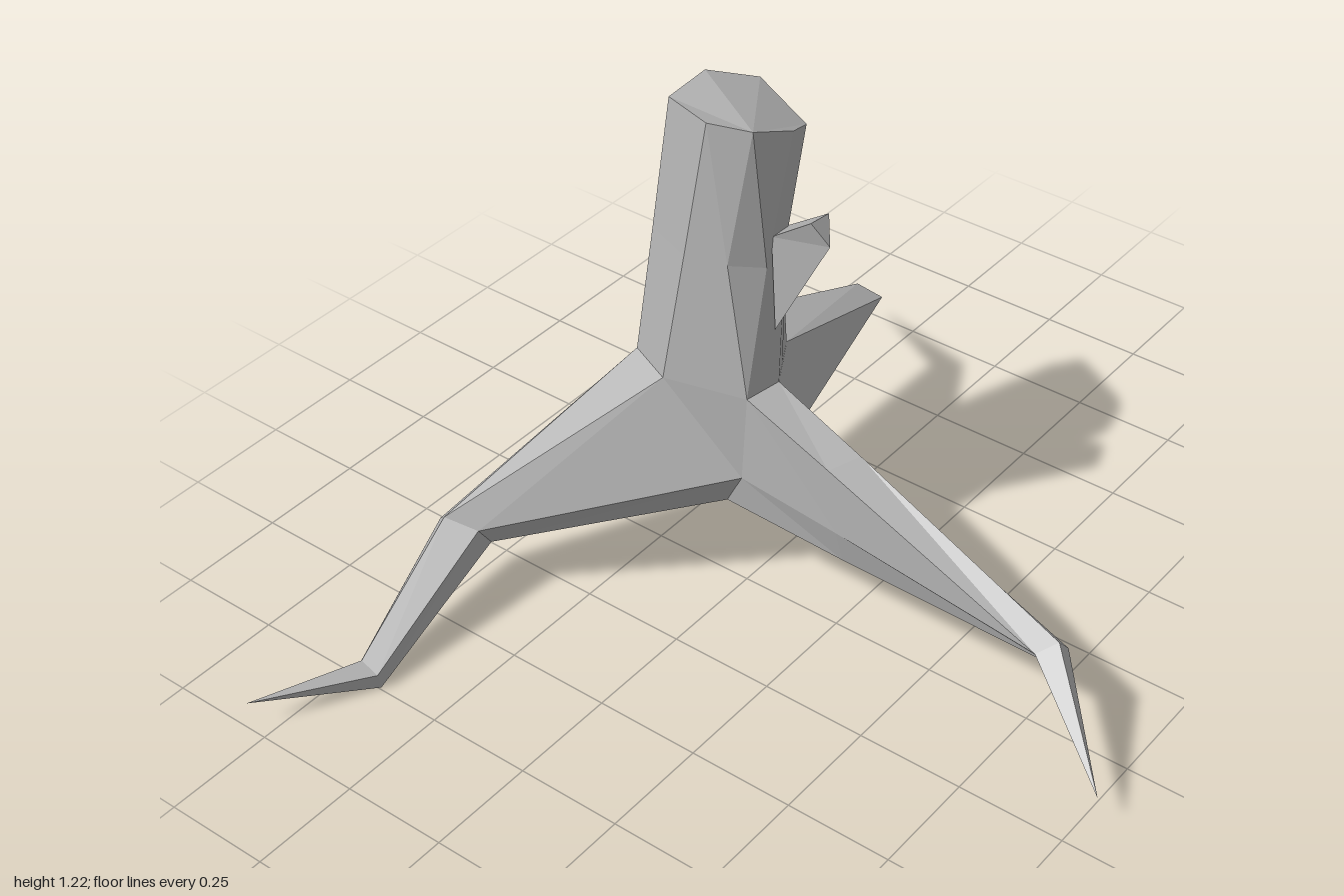
import * as THREE from 'three';

const bark = new THREE.MeshStandardMaterial({ color: 0xb4b4b4, flatShading: true, side: THREE.DoubleSide });
bark.name = 'bark';

// Joins rings of equal point count into a faceted skin; rings run clockwise seen from the first ring's outside.
function loft(name, rings, capFirst = false, capLast = false) {
  const tris = [];
  const add = (a, b, c) => {
    if (a !== b && b !== c && a !== c) tris.push(...a, ...b, ...c);
  };
  const cap = (ring, flip) => {
    for (let i = 1; i < ring.length - 1; i++) {
      if (flip) add(ring[0], ring[i + 1], ring[i]);
      else add(ring[0], ring[i], ring[i + 1]);
    }
  };
  for (let r = 0; r < rings.length - 1; r++) {
    const p = rings[r], q = rings[r + 1];
    for (let i = 0; i < p.length; i++) {
      const j = (i + 1) % p.length;
      add(p[i], q[i], p[j]);
      add(p[j], q[i], q[j]);
    }
  }
  if (capFirst) cap(rings[0], false);
  if (capLast) cap(rings[rings.length - 1], true);
  const geo = new THREE.BufferGeometry();
  geo.setAttribute('position', new THREE.Float32BufferAttribute(tris, 3));
  geo.computeVertexNormals();
  const mesh = new THREE.Mesh(geo, bark);
  mesh.name = name;
  return mesh;
}

export function createModel() {
  const group = new THREE.Group();
  group.name = 'treeStump';

  // Shared corners where the trunk meets the roots
  const A = [-0.07, 0.58, -0.18], B = [0.02, 0.58, -0.165], C = [0.17, 0.555, -0.26];
  const D = [0.11, 0.56, -0.467], E = [-0.065, 0.58, -0.483], F = [-0.115, 0.58, -0.37];
  const rightCrotch = [0.16, 0.39, -0.2], rightUnder = [0.14, 0.325, -0.3];
  const leftCrotch = [-0.07, 0.36, -0.2], leftUnder = [-0.06, 0.27, -0.25];
  const backUnder = [0.1, 0.33, -0.47];

  // Trunk: slanted cut top, pinched on the left side, flared foot
  const pinch = [0.193, 0.88, -0.29], corner = [-0.07, 1.22, -0.265];
  group.add(loft('trunk', [
    [[-0.03, 1.21, -0.18], [0.1, 1.15, -0.18], [0.175, 1.12, -0.205], [0.235, 1.145, -0.37],
      [0.13, 1.19, -0.43], [-0.01, 1.2, -0.41], corner, corner],
    [[-0.005, 0.88, -0.172], [0.095, 0.88, -0.2], pinch, pinch,
      [0.12, 0.88, -0.448], [-0.037, 0.89, -0.446], [-0.092, 0.9, -0.317], [-0.07, 0.9, -0.222]],
    [B, [0.095, 0.567, -0.213], C, C, D, E, F, A],
  ], true));

  // Broken branch on the front
  const stubTip = [0.11, 0.98, -0.1];
  group.add(loft('branchStub', [
    [[0.06, 0.94, -0.06], stubTip, stubTip, [0.04, 0.995, -0.093]],
    [[0.01, 0.72, -0.165], [0.13, 0.74, -0.22], [0.12, 0.9, -0.215], [0.02, 0.94, -0.178]],
  ], true));

  // Root to the front, with a sagging belly and a sharp tip
  const kneeLeft = [-0.065, 0.26, 0.55];
  group.add(loft('frontRoot', [
    [A, B, rightCrotch, rightUnder, leftUnder, leftCrotch],
    [[-0.069, 0.49, 0.03], [0.005, 0.495, 0.06], [0.114, 0.35, 0.03],
      [0.105, 0.205, 0.05], [-0.045, 0.24, 0.05], [-0.068, 0.33, 0.05]],
    [kneeLeft, [-0.03, 0.285, 0.585], [0, 0.25, 0.59], [0.045, 0.215, 0.46], [-0.03, 0.215, 0.57], kneeLeft],
    Array(6).fill([-0.19, 0.095, 0.79]),
  ]));

  // Root to the left
  const sideTop = [0.705, 0.328, -0.46], sideBottom = [0.67, 0.28, -0.42];
  group.add(loft('leftRoot', [
    [C, D, backUnder, rightUnder, rightCrotch],
    [sideTop, sideTop, sideBottom, sideBottom, [0.715, 0.31, -0.395]],
    Array(5).fill([0.99, 0.04, -0.61]),
  ]));

  // Root to the back right, bent twice
  const bendBack = [-0.42, 0.2, -0.77], bendBottom = [-0.38, 0.16, -0.66];
  const footBack = [-0.74, 0.04, -0.72], footBottom = [-0.745, 0, -0.66];
  group.add(loft('backRoot', [
    [F, E, D, backUnder, leftUnder, leftCrotch],
    [[-0.45, 0.245, -0.725], bendBack, bendBack, bendBottom, bendBottom, [-0.42, 0.22, -0.655]],
    [[-0.757, 0.067, -0.697], footBack, footBack, footBottom, footBottom, [-0.755, 0.045, -0.655]],
    Array(6).fill([-1, 0.075, -0.79]),
  ]));

  // Shoulders between the roots, and the underside
  [['leftShoulder', [B, C, rightCrotch]], ['rightShoulder', [F, A, leftCrotch]],
    ['underside', [leftUnder, backUnder, rightUnder]],
  ].forEach(([name, [a, b, c]]) => group.add(loft(name, [[a, c, b]], true)));

  return group;
}
